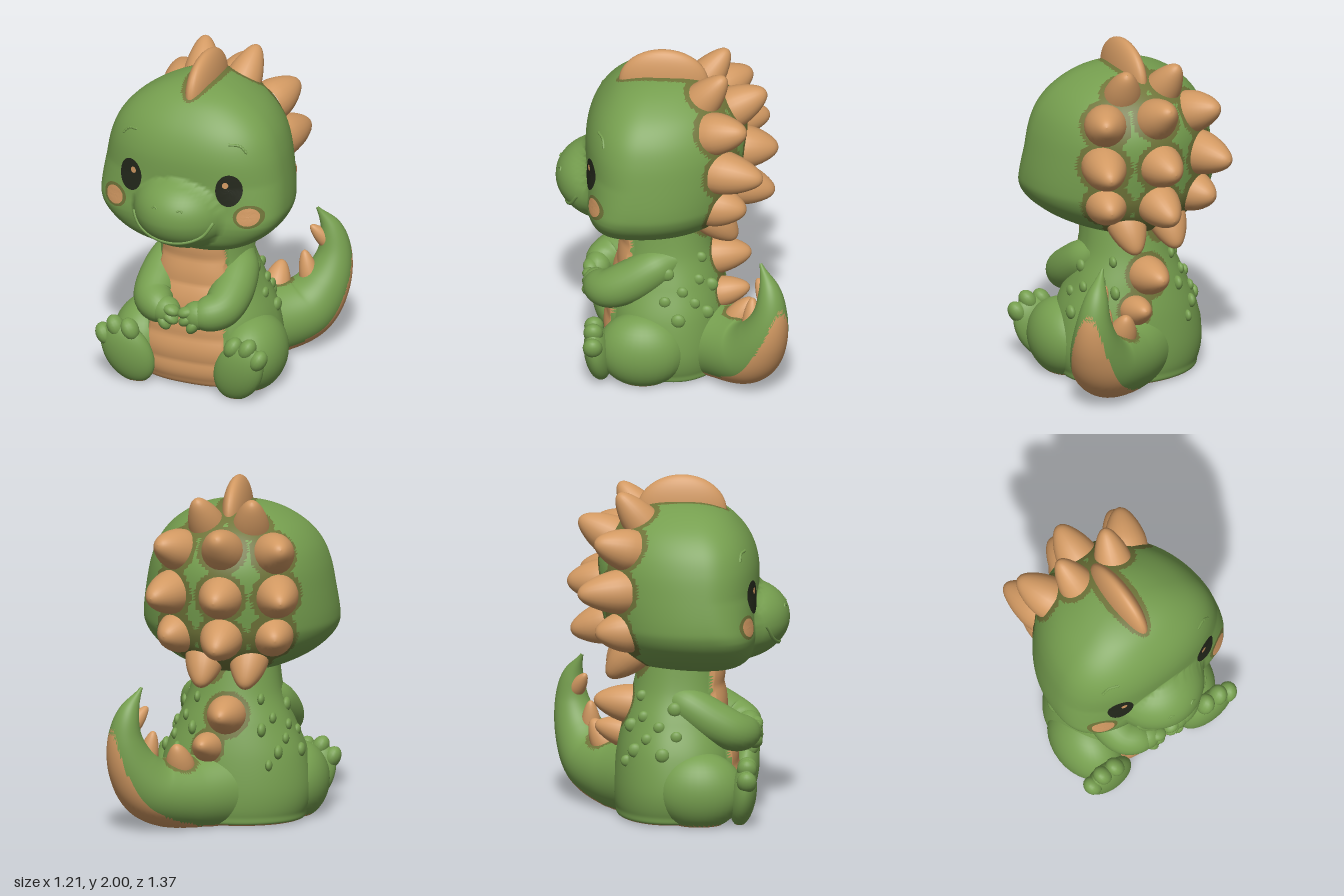
import * as THREE from 'three';

const mat = (name, color) => {
  const m = new THREE.MeshStandardMaterial({ color });
  m.name = name;
  return m;
};
const V = (x, y, z) => new THREE.Vector3(x, y, z);
const CX = -0.03; // middle line of head and body

export function createModel() {
  const model = new THREE.Group();
  model.name = 'babyDinosaur';
  const green = mat('skinGreen', 0x769f4f), orange = mat('spikeOrange', 0xd29962);
  const olive = mat('oliveEdge', 0x6f7439), black = mat('eyeBlack', 0x23271b);
  const skin = [green, orange, olive];

  const add = (name, geo, material) => {
    const m = new THREE.Mesh(geo, material);
    m.name = name;
    model.add(m);
    return m;
  };

  // Closed-ring surface: fn(u, angle) gives a point, u runs 0..1
  const grid = (rows, cols, fn) => {
    const pos = [], idx = [];
    for (let i = 0; i <= rows; i++)
      for (let j = 0; j < cols; j++) pos.push(...fn(i / rows, (j / cols) * Math.PI * 2, i).toArray());
    for (let i = 0; i < rows; i++)
      for (let j = 0; j < cols; j++) {
        const a = i * cols + j, c = i * cols + ((j + 1) % cols), b = a + cols, d = c + cols;
        idx.push(a, b, c, b, d, c);
      }
    const g = new THREE.BufferGeometry();
    g.setAttribute('position', new THREE.Float32BufferAttribute(pos, 3));
    g.setIndex(idx);
    g.computeVertexNormals();
    return g;
  };

  // Sort faces into material groups by their centre
  const paint = (g, pick) => {
    const p = g.attributes.position, src = g.index.array, sets = [[], [], []];
    const c = V(0, 0, 0), t = V(0, 0, 0);
    for (let f = 0; f < src.length; f += 3) {
      c.set(0, 0, 0);
      for (let k = 0; k < 3; k++) c.add(t.fromBufferAttribute(p, src[f + k]));
      sets[pick(c.divideScalar(3), f)].push(src[f], src[f + 1], src[f + 2]);
    }
    g.setIndex(sets.flat());
    let start = 0;
    sets.forEach((s, i) => { if (s.length) g.addGroup(start, s.length, i); start += s.length; });
    return g;
  };

  // Stacked egg-shaped sections, each level is [y, half width, front z, back z];
  // pow(y) below 1 makes the front flatter
  const loft = (levels, mid, pow) => {
    const a = new THREE.SplineCurve(levels.map(l => new THREE.Vector2(l[0], l[1])));
    const b = new THREE.SplineCurve(levels.map(l => new THREE.Vector2(l[2], l[3])));
    const row = u => {
      const p = a.getPoint(u), q = b.getPoint(u);
      return { y: p.x, w: Math.max(p.y, 0.002), f: q.x, b: q.y, c: q.y + (q.x - q.y) * mid };
    };
    const front = (r, k) => {
      const e = pow(r.y);
      return r.c + (r.f - r.c) * Math.max(0, 1 - Math.abs(k) ** (2 / e)) ** (e / 2);
    };
    const at = (u, th) => {
      const r = row(u), c = Math.cos(th), s = Math.sin(th);
      return V(CX + c * r.w, r.y, s > 0 ? front(r, c) : r.c + (r.c - r.b) * s);
    };
    const rows = Array.from({ length: 301 }, (_, i) => row(i / 300));
    const near = y => rows.reduce((m, r) => (Math.abs(r.y - y) < Math.abs(m.y - y) ? r : m));
    return { at, near, front };
  };

  // Ellipsoid, flattened where it meets the ground
  const blob = (name, [x, y, z], [rx, ry, rz], rotZ = 0, material = skin, rotX = 0) => {
    const n = Math.max(rx, ry, rz) > 0.11 ? 32 : 16;
    const g = new THREE.SphereGeometry(1, n, n * 0.75).scale(rx, ry, rz).rotateX(rotX).rotateZ(rotZ).translate(x, y, z);
    const p = g.attributes.position;
    for (let i = 0; i < p.count; i++) p.setY(i, Math.max(0, p.getY(i)));
    add(name, material === skin ? paint(g, c => (c.y < 0.008 ? 1 : 0)) : g, material);
  };

  // Tapering limb through points [x, y, z, radius]
  const limb = (pts, rows, cols) => {
    const curve = new THREE.CatmullRomCurve3(pts.map(p => V(p[0], p[1], p[2])));
    const rad = new THREE.SplineCurve(pts.map((p, i) => new THREE.Vector2(i, p[3])));
    const fr = curve.computeFrenetFrames(rows, false);
    const g = grid(rows, cols, (u, th, i) => {
      const t = curve.getUtoTmapping(u), r = Math.max(rad.getPoint(t).y, 0.002);
      const p = curve.getPoint(t).addScaledVector(fr.normals[i], Math.cos(th) * r).addScaledVector(fr.binormals[i], -Math.sin(th) * r);
      p.y = Math.max(0, p.y);
      return p;
    });
    return { g, curve, rad };
  };

  // Spikes: [base, tip, radius]; those off the middle are mirrored
  const spikes = [];
  const S = (b, t, r) => (b[0] ? [1, -1] : [1]).forEach(s =>
    spikes.push([V(CX + s * b[0], b[1], b[2]), V(CX + s * t[0], t[1], t[2]), r]));
  S([0.115, 1.68, -0.12], [0.165, 1.92, -0.3], 0.115);
  S([0.265, 1.6, -0.22], [0.365, 1.67, -0.43], 0.125);
  S([0.295, 1.37, -0.25], [0.385, 1.37, -0.53], 0.13);
  S([0.265, 1.13, -0.22], [0.33, 1.13, -0.43], 0.125);
  S([0.13, 1.0, -0.2], [0.13, 0.83, -0.36], 0.115);
  S([0, 1.61, -0.3], [0, 1.74, -0.53], 0.125);
  S([0, 1.37, -0.36], [0, 1.37, -0.6], 0.13);
  S([0, 1.13, -0.34], [0, 1.08, -0.58], 0.125);
  S([0, 0.64, -0.2], [0, 0.67, -0.445], 0.115);
  spikes.push([V(0.07, 0.45, -0.25), V(0.08, 0.5, -0.44), 0.09]);
  spikes.push([V(0.21, 0.34, -0.37), V(0.22, 0.5, -0.46), 0.085]);
  spikes.push([V(0.39, 0.4, -0.47), V(0.35, 0.58, -0.47), 0.06]);
  spikes.push([V(0.46, 0.62, -0.56), V(0.38, 0.73, -0.5), 0.05]);
  const profile = new THREE.SplineCurve([[1, 0], [0.97, 0.25], [0.78, 0.56], [0.5, 0.82], [0.24, 0.96], [0.001, 1]].map(p => new THREE.Vector2(...p))).getPoints(14);
  for (const [b, t, r] of spikes) {
    const d = t.clone().sub(b), h = d.length();
    const m = add('spike', new THREE.LatheGeometry(profile.map(p => new THREE.Vector2(Math.max(0, p.x * r), p.y * h)), 24), orange);
    m.position.copy(b);
    m.quaternion.setFromUnitVectors(V(0, 1, 0), d.normalize());
  }
  const line = new THREE.Line3(), hit = V(0, 0, 0);
  const nearSpike = c => spikes.some(([b, t, r]) =>
    line.set(b, t).closestPointToPoint(c, true, hit).distanceTo(c) < r * 1.2);
  blob('topCrest', [CX, 1.79, 0.065], [0.075, 0.21, 0.26], 0, orange);

  // Head with a swelling muzzle and olive edging round the spikes
  const head = loft([[0.865, 0.01, 0.11, 0.09], [0.87, 0.15, 0.27, -0.08], [0.9, 0.28, 0.4, -0.2], [0.96, 0.41, 0.47, -0.29],
    [1.04, 0.51, 0.5, -0.35], [1.12, 0.56, 0.51, -0.385], [1.2, 0.568, 0.51, -0.4], [1.35, 0.55, 0.515, -0.42],
    [1.5, 0.52, 0.51, -0.42], [1.62, 0.47, 0.475, -0.38], [1.72, 0.385, 0.41, -0.31], [1.8, 0.26, 0.32, -0.2],
    [1.845, 0.13, 0.2, -0.09], [1.855, 0.01, 0.06, 0.04]], 0.65, y => THREE.MathUtils.mapLinear(THREE.MathUtils.clamp(y, 1.1, 1.35), 1.1, 1.35, 0.66, 0.9));
  const muzzle = (x, y) => 0.18 * Math.max(0, 1 - ((x - CX - 0.005) / 0.275) ** 2 - ((y - 1.17) / (y > 1.17 ? 0.2 : 0.25)) ** 2) ** 0.7;
  add('head', paint(grid(112, 140, (u, th) => {
    const p = head.at(u, th);
    if (Math.sin(th) > 0) p.z += muzzle(p.x, p.y);
    return p;
  }), c => nearSpike(c) || (c.y > 1.7 && ((c.x - CX) / 0.105) ** 2 + ((c.z - 0.05) / 0.29) ** 2 < 1) ? 2 : 0), skin);
  const faceZ = (x, y) => {
    const r = head.near(y);
    return head.front(r, (x - CX) / r.w) + muzzle(x, y);
  };

  // Face details that follow the surface
  const disc = (name, x, y, rx, ry, lift, material) => add(name, grid(8, 32, (u, th) => {
    const px = x + Math.cos(th) * rx * u, py = y + Math.sin(th) * ry * u;
    return V(px, py, faceZ(px, py) + lift);
  }), material);
  const crease = (name, pts, r) => {
    const flat = new THREE.SplineCurve(pts.map(p => new THREE.Vector2(...p))).getPoints(24);
    add(name, new THREE.TubeGeometry(new THREE.CatmullRomCurve3(flat.map(p => V(p.x, p.y, faceZ(p.x, p.y)))), 48, r, 8), green);
  };
  for (const s of [1, -1]) {
    const X = x => CX + 0.012 + s * x;
    disc('eye', X(0.307), 1.34, 0.075, 0.097, 0.006, black);
    disc('eyeGlint', X(0.288), 1.373, 0.018, 0.019, 0.009, orange);
    disc('cheekEdge', X(0.418), 1.182, 0.082, 0.07, 0.005, olive);
    disc('cheek', X(0.418), 1.182, 0.061, 0.054, 0.009, orange);
    crease('nostril', [[X(0.095), 1.235], [X(0.08), 1.25], [X(0.06), 1.24]], 0.006);
    crease('eyebrow', [[X(0.385), 1.56], [X(0.345), 1.6], [X(0.285), 1.61]], 0.008);
  }
  crease('smile', [[-0.27, 1.155], [-0.22, 1.08], [-0.13, 1.035], [-0.022, 1.02], [0.085, 1.035], [0.175, 1.08], [0.225, 1.155]], 0.011);

  // Body with a raised, folded belly
  const body = loft([[0, 0.01, 0.02, -0.02], [0, 0.36, 0.31, -0.28], [0.06, 0.42, 0.37, -0.32], [0.2, 0.445, 0.39, -0.33],
    [0.4, 0.41, 0.37, -0.31], [0.58, 0.335, 0.33, -0.27], [0.75, 0.27, 0.3, -0.22], [0.95, 0.24, 0.3, -0.18]], 0.47, () => 0.8);
  const onBelly = c => c.z > 0.08 && Math.abs(c.x - CX) < 0.25 - 0.085 * Math.max(0, c.y - 0.2);
  add('body', paint(grid(90, 140, (u, th) => {
    const p = body.at(u, th);
    p.y = Math.max(0, p.y);
    if (onBelly(p) && p.y > 0.01) p.z += 0.012 + 0.01 * Math.abs(Math.sin(((p.y - 0.01) / 0.155) * Math.PI));
    return p;
  }), c => (c.y < 0.012 || onBelly(c) ? 1 : nearSpike(c) ? 2 : 0)), skin);

  // Tail curling up to one side, orange underneath
  const tail = limb([[0, 0.2, -0.1, 0.25], [0.2, 0.19, -0.3, 0.215], [0.37, 0.24, -0.45, 0.19], [0.46, 0.38, -0.535, 0.148],
    [0.495, 0.55, -0.58, 0.102], [0.475, 0.7, -0.575, 0.065], [0.41, 0.845, -0.52, 0.008]], 70, 64);
  const under = V(0.55, -0.72, -0.42).normalize();
  add('tail', paint(tail.g, (c, f) => {
    if (c.y < 0.012) return 1;
    const u = Math.floor(f / (64 * 6)) / 70, t = tail.curve.getUtoTmapping(u);
    const side = c.clone().sub(tail.curve.getPoint(t)).dot(under) / tail.rad.getPoint(t).y;
    return u < 0.82 && side > 0.57 ? 1 : nearSpike(c) && u > 0.2 && u < 0.5 ? 2 : 0;
  }), skin);

  // Limbs and skin bumps on both sides
  for (const s of [1, -1]) {
    const X = x => CX + 0.01 + s * x;
    add('arm', limb([[X(0.18), 0.73, -0.01, 0.08], [X(0.215), 0.68, 0.1, 0.115], [X(0.228), 0.585, 0.25, 0.125], [X(0.21), 0.525, 0.37, 0.115],
      [X(0.14), 0.505, 0.43, 0.1], [X(0.06), 0.495, 0.45, 0.06]], 40, 28).g, green);
    blob('hand', [X(0.1), 0.5, 0.45], [0.09, 0.085, 0.08]);
    [[0.045, 0.525, 0.3], [0.05, 0.478, 0.6], [0.09, 0.445, 1.0]].forEach(([x, y, a]) =>
      blob('finger', [X(x), y, 0.49], [0.052, 0.034, 0.045], s * a));
    blob('thigh', [X(0.335), 0.2, 0.17], [0.19, 0.23, 0.26]);
    blob('foot', [X(0.35), 0.18, 0.425], [0.145, 0.205, 0.078], s * -0.5, skin, 0.14);
    [[0.325, 0.335], [0.415, 0.34], [0.485, 0.28]].forEach(([x, y]) =>
      blob('toe', [X(x), y, 0.45], [0.05, 0.068, 0.058], s * -0.5));
    [[0.03, 0.67], [-0.06, 0.57], [0.04, 0.52], [-0.04, 0.42], [-0.16, 0.73], [-0.15, 0.62], [-0.2, 0.43],
      [0.12, 0.64], [-0.13, 0.5], [-0.22, 0.56], [-0.25, 0.36]].forEach(([z, y], i) => {
      const r = body.near(y), x = r.w * Math.sqrt(Math.max(0, 1 - ((z - r.c) / (z > r.c ? r.f - r.c : r.b - r.c)) ** 2));
      const q = i % 3 ? 0.034 : 0.042;
      blob('skinBump', [CX + s * x, y, z], [q * 0.6, q, q], 0, green);
    });
  }
  return model;
}
